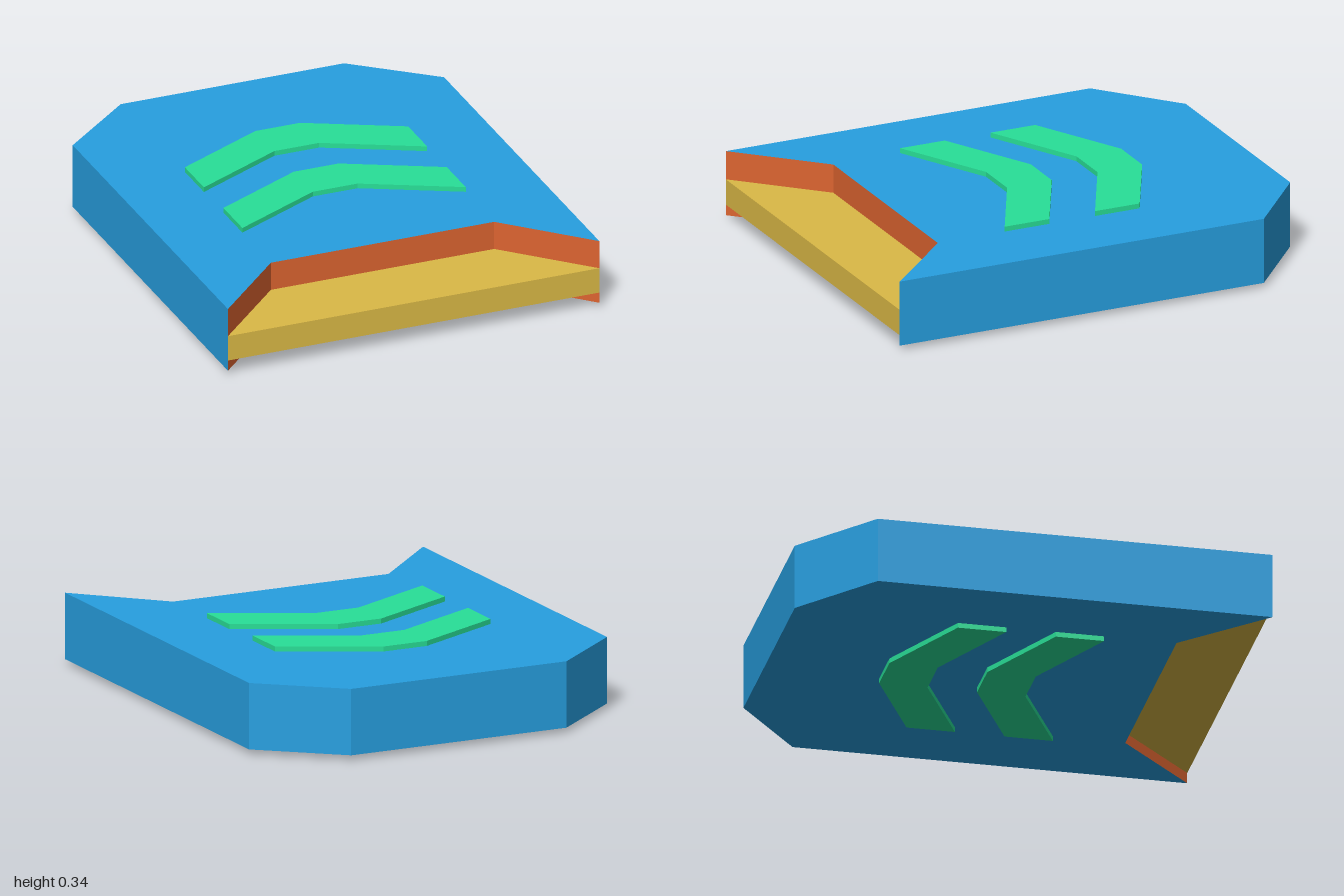
import * as THREE from 'three';

const mat = (name, color) => {
  const m = new THREE.MeshStandardMaterial({ color });
  m.name = name;
  return m;
};

// Plan outline from its +x half as [x, z] points, mirrored, raised from y0 to y1
function slab(half, y0, y1) {
  const mirrored = half.map(([x, z]) => [-x, z]).reverse();
  const shape = new THREE.Shape([...half, ...mirrored].map(([x, z]) => new THREE.Vector2(x, z)));
  const geo = new THREE.ExtrudeGeometry(shape, { depth: y1 - y0, bevelEnabled: false });
  geo.rotateX(Math.PI / 2);
  geo.translate(0, y1, 0);
  return geo;
}

export function createModel() {
  const model = new THREE.Group();
  const blue = mat('blue', 0x279fe0);
  const orange = mat('orange', 0xdc6430);
  const yellow = mat('yellow', 0xdbb946);
  const green = mat('green', 0x28df97);

  const add = (name, geo, material) => {
    const mesh = new THREE.Mesh(geo, material);
    mesh.name = name;
    model.add(mesh);
  };

  // Body with clipped back corners and a notched front; notch walls are orange
  const body = slab([[0.513, -1], [0.853, -0.713], [0.853, 1], [0.513, 0.657]], 0.022, 0.313);
  const normal = body.attributes.normal;
  body.clearGroups();
  for (let i = 0; i < normal.count; i += 3) {
    body.addGroup(i, 3, normal.getZ(i) > 0.1 ? 1 : 0);
  }
  add('body', body, [blue, orange]);

  // Connector tongue filling the notch
  add('tongue', slab([[0.513, 0.657], [0.853, 1]], 0.07, 0.185), yellow);

  // Raised chevrons on the top and the underside
  for (const z of [-0.5, -0.075]) {
    const half = [[0.103, z], [0.513, z + 0.208], [0.513, z + 0.418], [0.103, z + 0.21]];
    add('topChevron', slab(half, 0.313, 0.335), green);
    add('bottomChevron', slab(half, 0, 0.022), green);
  }
  return model;
}
